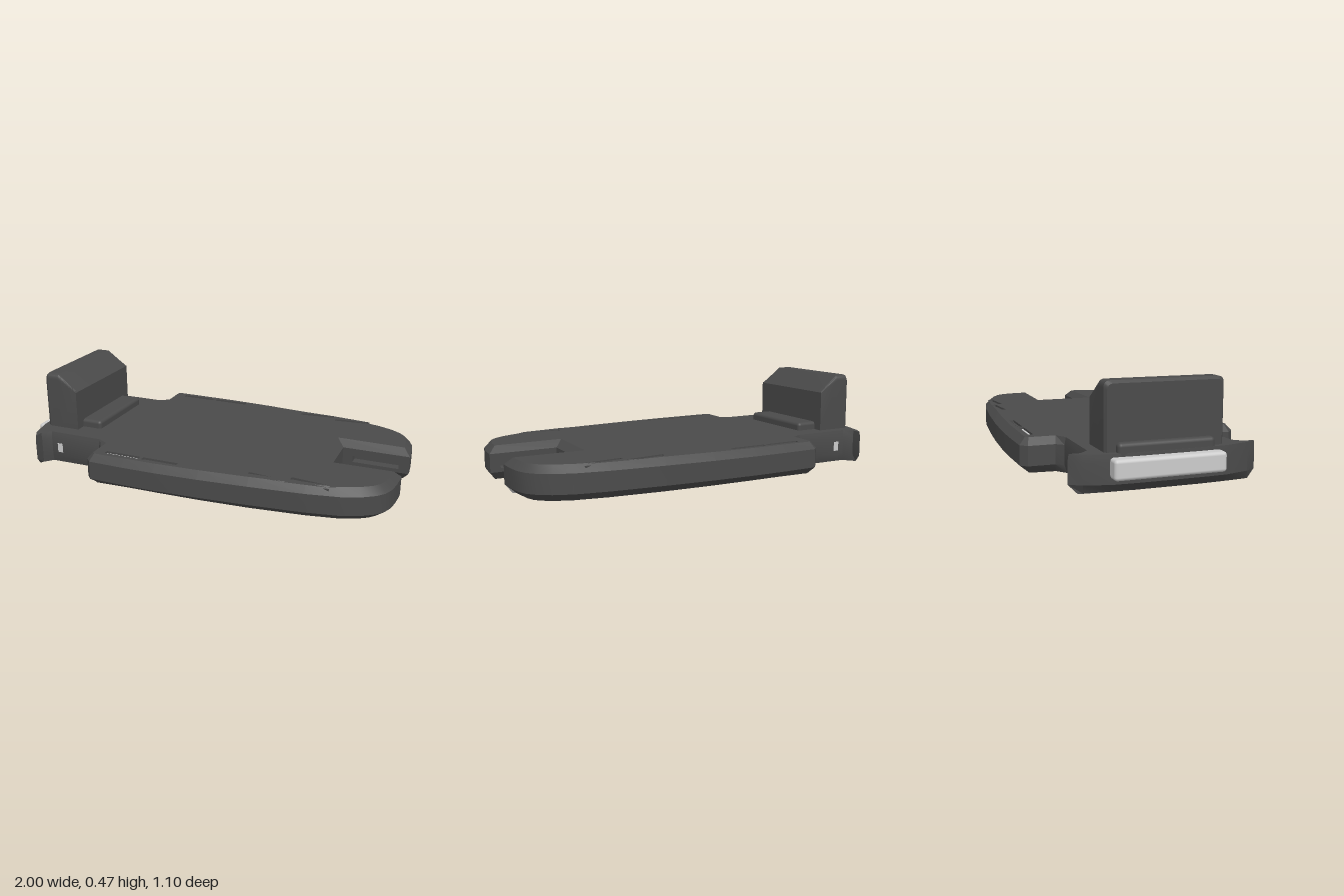
import * as THREE from 'three';
import { mergeGeometries, toCreasedNormals } from 'three/addons/utils/BufferGeometryUtils.js';
import { RoundedBoxGeometry } from 'three/addons/geometries/RoundedBoxGeometry.js';

const dark = new THREE.MeshStandardMaterial({ color: 0x4a4a4a });
const light = new THREE.MeshStandardMaterial({ color: 0xcccccc });
const inside = new THREE.MeshStandardMaterial({ color: 0x4a4a4a, side: THREE.BackSide });

// Half outline of the plate: x, z, top chamfer inset, bottom chamfer inset
const HALF = [
  [0.655, 0.125, 0.04, 0.03], [1, 0.125, 0.035, 0.03], [1, 0.16, 0.035, 0.045],
  [0.995, 0.23, 0.035, 0.05], [0.985, 0.29, 0.035, 0.05], [0.965, 0.34, 0.035, 0.05],
  [0.93, 0.38, 0.035, 0.05], [0.87, 0.42, 0.035, 0.05], [0.78, 0.455, 0.035, 0.05],
  [0.62, 0.485, 0.035, 0.05], [0.35, 0.515, 0.035, 0.05], [0.1, 0.536, 0.035, 0.055],
  [-0.13, 0.548, 0.035, 0.06], [-0.3, 0.55, 0.035, 0.06], [-0.485, 0.547, 0.03, 0.05],
  [-0.515, 0.515, 0.03, 0.04], [-0.515, 0.385, 0.03, 0.03], [-0.545, 0.35, 0.008, 0.015],
  [-0.84, 0.35, 0.008, 0.01], [-0.88, 0.385, 0.003, 0.003], [-0.88, 0.44, 0.003, 0.025],
  [-0.915, 0.385, 0.003, 0.02], [-0.945, 0.265, 0.003, 0.04], [-0.95, 0.15, 0.003, 0.04],
];
const OUTLINE = [...HALF, ...HALF.map(([x, z, t, b]) => [x, -z, t, b]).reverse()];

// Outline moved inward by the inset stored in column k (0 = no inset)
function ring(k) {
  const n = OUTLINE.length;
  return OUTLINE.map((p, i) => {
    const a = OUTLINE[(i + n - 1) % n], b = OUTLINE[(i + 1) % n];
    const n1 = new THREE.Vector2(p[1] - a[1], a[0] - p[0]).normalize();
    const n2 = new THREE.Vector2(b[1] - p[1], p[0] - b[0]).normalize();
    const m = n1.clone().add(n2).normalize();
    const d = k ? p[k] / Math.max(m.dot(n1), 0.6) : 0;
    return new THREE.Vector2(p[0] - m.x * d, p[1] - m.y * d);
  });
}

function bare(geometry) {
  const g = geometry.index ? geometry.toNonIndexed() : geometry;
  g.deleteAttribute('uv');
  g.deleteAttribute('normal');
  return g;
}

function rectPath(cx, cy, w, h, angle = 0) {
  const c = new THREE.Vector2();
  return new THREE.Path([[-1, -1], [1, -1], [1, 1], [-1, 1]].map(([sx, sy]) =>
    new THREE.Vector2(cx + sx * w / 2, cy + sy * h / 2).rotateAround(c.set(cx, cy), angle)));
}

// Strap slots in the top: x, z, turn, insert colour
const SLOTS = [];
for (const s of [-1, 1]) {
  SLOTS.push([-0.33, s * 0.478, 0, light], [-0.123, s * 0.478, 0, dark],
    [0.425, s * 0.45, -s * 0.108, dark], [0.63, s * 0.428, -s * 0.108, dark]);
}
const SLOT_L = 0.19, SLOT_W = 0.024;

function plateGeometry() {
  const levels = [[0, ring(3)], [0.04, ring(0)], [0.135, ring(0)], [0.17, ring(2)]];
  const pos = [];
  const n = OUTLINE.length;
  for (let l = 0; l < 3; l++) {
    const [y0, lo] = levels[l], [y1, hi] = levels[l + 1];
    for (let i = 0; i < n; i++) {
      const j = (i + 1) % n;
      if (l === 1 && (i === 0 || i === n - 2)) continue; // notch walls are added below
      const a0 = [lo[i].x, y0, lo[i].y], a1 = [lo[j].x, y0, lo[j].y];
      const b0 = [hi[i].x, y1, hi[i].y], b1 = [hi[j].x, y1, hi[j].y];
      pos.push(...a0, ...b0, ...b1, ...a0, ...b1, ...a1);
    }
  }
  const bands = new THREE.BufferGeometry();
  bands.setAttribute('position', new THREE.Float32BufferAttribute(pos, 3));

  // Top with slot openings, plain bottom
  const top = new THREE.Shape(levels[3][1].map(p => new THREE.Vector2(p.x, -p.y)));
  for (const [x, z, a] of SLOTS) top.holes.push(rectPath(x, -z, SLOT_L, SLOT_W, a));
  const topCap = new THREE.ShapeGeometry(top).rotateX(-Math.PI / 2).translate(0, 0.17, 0);
  const bottomCap = new THREE.ShapeGeometry(new THREE.Shape(levels[0][1])).rotateX(Math.PI / 2);

  // Side walls of the end notch, each with a groove opening
  const wall = new THREE.Shape(rectPath(0, 0.0875, 0.345, 0.095).getPoints());
  wall.holes.push(rectPath(0, 0.0775, 0.24, 0.035));
  const walls = [-1, 1].map(s => new THREE.ShapeGeometry(wall)
    .rotateY(s > 0 ? Math.PI : 0).translate(0.8275, 0, s * 0.125));

  return toCreasedNormals(mergeGeometries([bands, topCap, bottomCap, ...walls].map(bare)), 0.4);
}

// Upright stop: rounded panel swept along x, its front top edge sloping down
function stopGeometry() {
  const w = 0.2775, h = 0.47, r = 0.03;
  const s = new THREE.Shape();
  s.moveTo(-w, 0.17);
  s.lineTo(w, 0.17);
  s.lineTo(w, h - r);
  s.quadraticCurveTo(w, h, w - r, h);
  s.lineTo(-w + r, h);
  s.quadraticCurveTo(-w, h, -w, h - r);
  s.closePath();
  const g = new THREE.ExtrudeGeometry(s, { depth: 3, steps: 3, bevelEnabled: false, curveSegments: 6 });
  g.rotateY(Math.PI / 2);
  const xs = [-0.915, -0.9, -0.835, -0.725];
  const p = g.attributes.position;
  for (let i = 0; i < p.count; i++) {
    const k = Math.round(p.getX(i));
    p.setX(i, xs[k]);
    if (k === 3) p.setY(i, Math.min(p.getY(i), 0.38));
    if (k === 0) {
      p.setZ(i, p.getZ(i) * 0.96);
      if (p.getY(i) > 0.3) p.setY(i, p.getY(i) - 0.012);
    }
  }
  return toCreasedNormals(bare(g), 0.5);
}

export function createModel() {
  const model = new THREE.Group();
  function add(name, geometry, material, x = 0, y = 0, z = 0, turn = 0) {
    const m = new THREE.Mesh(geometry, material);
    m.name = name;
    m.position.set(x, y, z);
    m.rotation.y = turn;
    model.add(m);
    return m;
  }

  add('basePlate', plateGeometry(), dark);

  // Slot pockets with their inserts
  const pocket = new THREE.BoxGeometry(SLOT_L, 0.04, SLOT_W);
  const insert = new THREE.BoxGeometry(SLOT_L, 0.01, SLOT_W * 0.4);
  for (const [x, z, a, mat] of SLOTS) {
    add('slotPocket', pocket, inside, x, 0.15, z, a);
    for (const s of [-1, 1]) {
      add('slotInsert', insert, mat, x + s * 0.0065 * Math.sin(a), 0.155, z + s * 0.0065 * Math.cos(a), a);
    }
  }

  // Grooves in the notch walls and small side tabs at the narrow end
  for (const s of [-1, 1]) {
    add('notchGroove', new THREE.BoxGeometry(0.24, 0.035, 0.05), inside, 0.8275, 0.0775, s * 0.15);
    add('sideTab', new THREE.BoxGeometry(0.03, 0.05, 0.02), light, -0.79, 0.085, s * 0.342);
  }

  // Raised pad, upright stop and release bar
  add('raisedPad', new RoundedBoxGeometry(0.33, 0.08, 0.45, 3, 0.018), dark, -0.78, 0.172, -0.015);
  add('uprightStop', stopGeometry(), dark, 0, 0, -0.0125);
  add('releaseBar', new RoundedBoxGeometry(0.1, 0.09, 0.515, 3, 0.016), light, -0.95, 0.11, -0.0175);
  return model;
}
